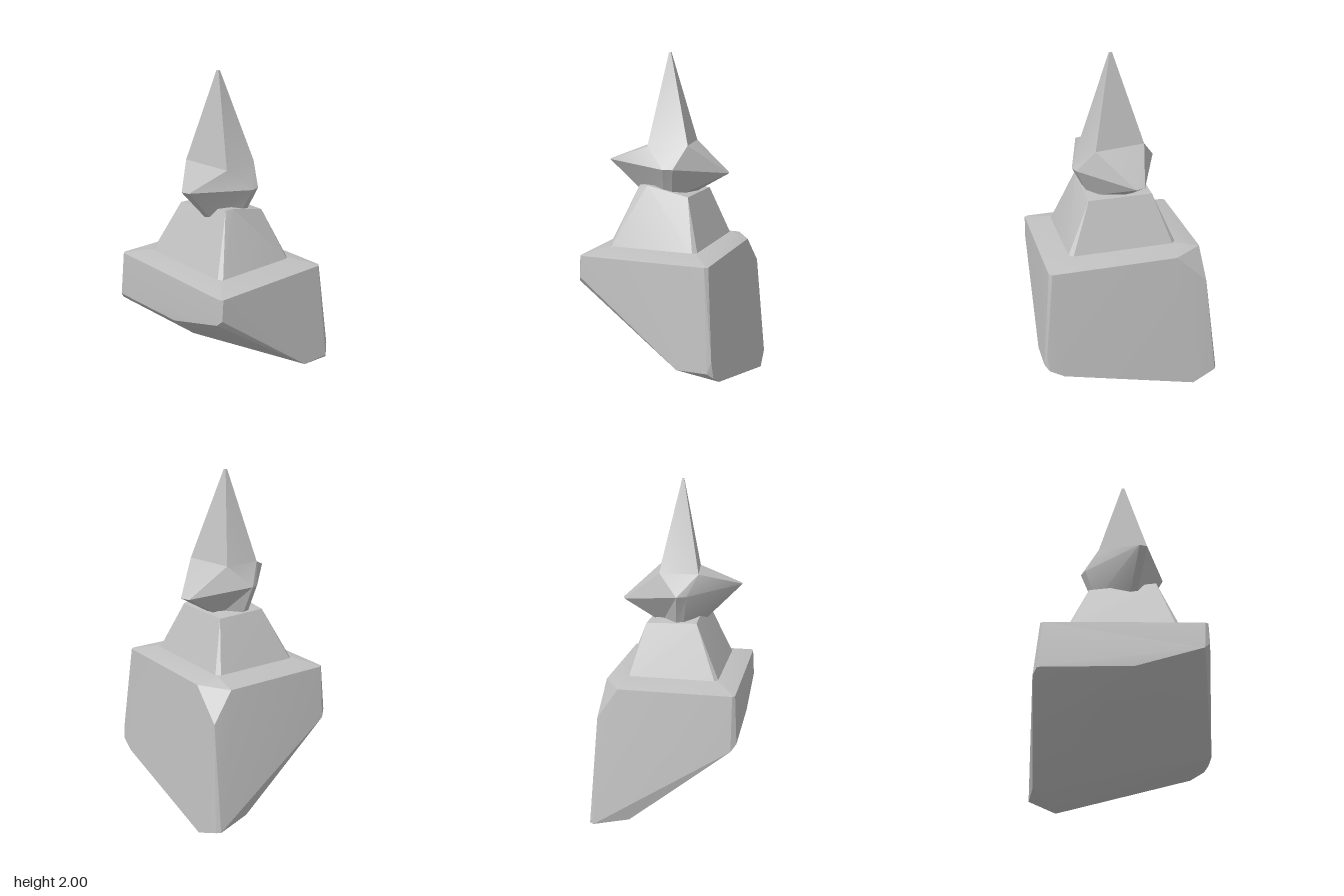
import * as THREE from 'three';
import { toCreasedNormals } from 'three/addons/utils/BufferGeometryUtils.js';
import { ConvexGeometry } from 'three/addons/geometries/ConvexGeometry.js';

const stone = new THREE.MeshStandardMaterial({ color: 0xc0c0c0 });
stone.name = 'grey stone';

const vectors = (points) => points.map((p) => new THREE.Vector3(...p));

function addPart(group, name, geometry, crease) {
  const mesh = new THREE.Mesh(toCreasedNormals(geometry, crease), stone);
  mesh.name = name;
  group.add(mesh);
}

// Convex block wrapped around its corner points
const block = (points) => new ConvexGeometry(vectors(points));

// Skin over cross-section rings given from bottom to top, skipping collapsed triangles
function skin(rings) {
  const positions = [];
  const triangle = (a, b, c) => {
    const area = b.clone().sub(a).cross(c.clone().sub(a)).length();
    if (area > 1e-7) for (const p of [a, b, c]) positions.push(p.x, p.y, p.z);
  };
  for (let r = 0; r < rings.length - 1; r++) {
    const low = rings[r], high = rings[r + 1], n = low.length;
    for (let i = 0; i < n; i++) {
      const j = (i + 1) % n;
      triangle(low[i], low[j], high[j]);
      triangle(low[i], high[j], high[i]);
    }
  }
  const geometry = new THREE.BufferGeometry();
  geometry.setAttribute('position', new THREE.Float32BufferAttribute(positions, 3));
  return geometry;
}

export function createModel() {
  const model = new THREE.Group();
  model.name = 'crystalOnRock';

  // Rock: shallow lid, upright walls and a slanting underside
  addPart(model, 'rock', block([
    // lid top
    [-0.3, 0.9, -0.3], [0.24, 0.9, -0.3], [0.24, 0.9, 0.345], [-0.3, 0.9, 0.345],
    // rim, with one cut corner at the back
    [-0.4, 0.865, -0.445], [-0.415, 0.865, -0.43], [0.25, 0.865, -0.445], [0.36, 0.865, -0.27],
    [0.37, 0.69, -0.455], [0.36, 0.865, 0.47], [0.34, 0.865, 0.487],
    [-0.4, 0.865, 0.487], [-0.415, 0.865, 0.47],
    // front lower edge
    [-0.41, 0.74, 0.49], [-0.425, 0.71, 0.46], [0, 0.5, 0.52], [0.2, 0.28, 0.54],
    [0.38, 0.28, 0.54], [0.4, 0.35, 0.525], [0.41, 0.25, 0.515], [0.415, 0.2, 0.43],
    // lowest corner at the back
    [0.43, 0, -0.38], [0.41, 0.06, -0.525], [0.385, 0.06, -0.54], [0.18, 0.09, -0.5],
    // left lower edge
    [-0.4, 0.55, -0.475], [-0.43, 0.59, -0.45], [-0.425, 0.6, 0.08],
  ]), 0.3);

  // Tapered plinth with a raised front corner
  addPart(model, 'plinth', block([
    [-0.3, 0.895, -0.28], [-0.28, 0.895, -0.303], [0.22, 0.895, -0.303], [0.243, 0.895, -0.28],
    [0.243, 0.895, 0.32], [0.22, 0.895, 0.345], [-0.28, 0.895, 0.345], [-0.3, 0.895, 0.32],
    [-0.15, 1.25, 0.215], [-0.1, 1.25, 0.225], [0.14, 1.19, 0.2],
    [0.14, 1.19, -0.18], [-0.155, 1.2, -0.185],
  ]), 0.3);

  // Crystal: blunt four-pointed belt, square neck and a tall spire
  const tips = vectors([
    [-0.38, 1.38, 0.11], [-0.365, 1.38, 0.155], [0.01, 1.35, 0.265], [0.065, 1.35, 0.25],
    [0.31, 1.305, -0.035], [0.29, 1.305, -0.09], [-0.045, 1.36, -0.24], [-0.1, 1.36, -0.21],
  ]);
  const [backRight, backLeft, frontLeft, frontRight] = vectors([
    [-0.155, 1.475, -0.13], [0.07, 1.48, -0.15], [0.12, 1.48, 0.15], [-0.115, 1.47, 0.185],
  ]);
  const neck = [backRight, frontRight, frontRight, frontLeft, frontLeft, backLeft, backLeft, backRight];
  const foot = vectors([
    [-0.17, 1.17, 0.06], [-0.16, 1.17, 0.1], [-0.02, 1.17, 0.175], [0.03, 1.17, 0.17],
    [0.08, 1.17, -0.02], [0.07, 1.17, -0.07], [-0.03, 1.17, -0.16], [-0.07, 1.17, -0.15],
  ]);
  const centre = new THREE.Vector3(-0.038, 2, 0.02);
  const apex = neck.map((p) => centre.clone().lerp(new THREE.Vector3(p.x, 2, p.z), 0.05));
  const flat = (p) => new THREE.Vector3(p.x, p.y, p.z);
  const close = (y) => tips.map(() => flat({ x: -0.038, y, z: 0.02 }));
  addPart(model, 'crystal', skin([close(1.15), foot, tips, neck, apex, close(2)]), 0.45);

  return model;
}
